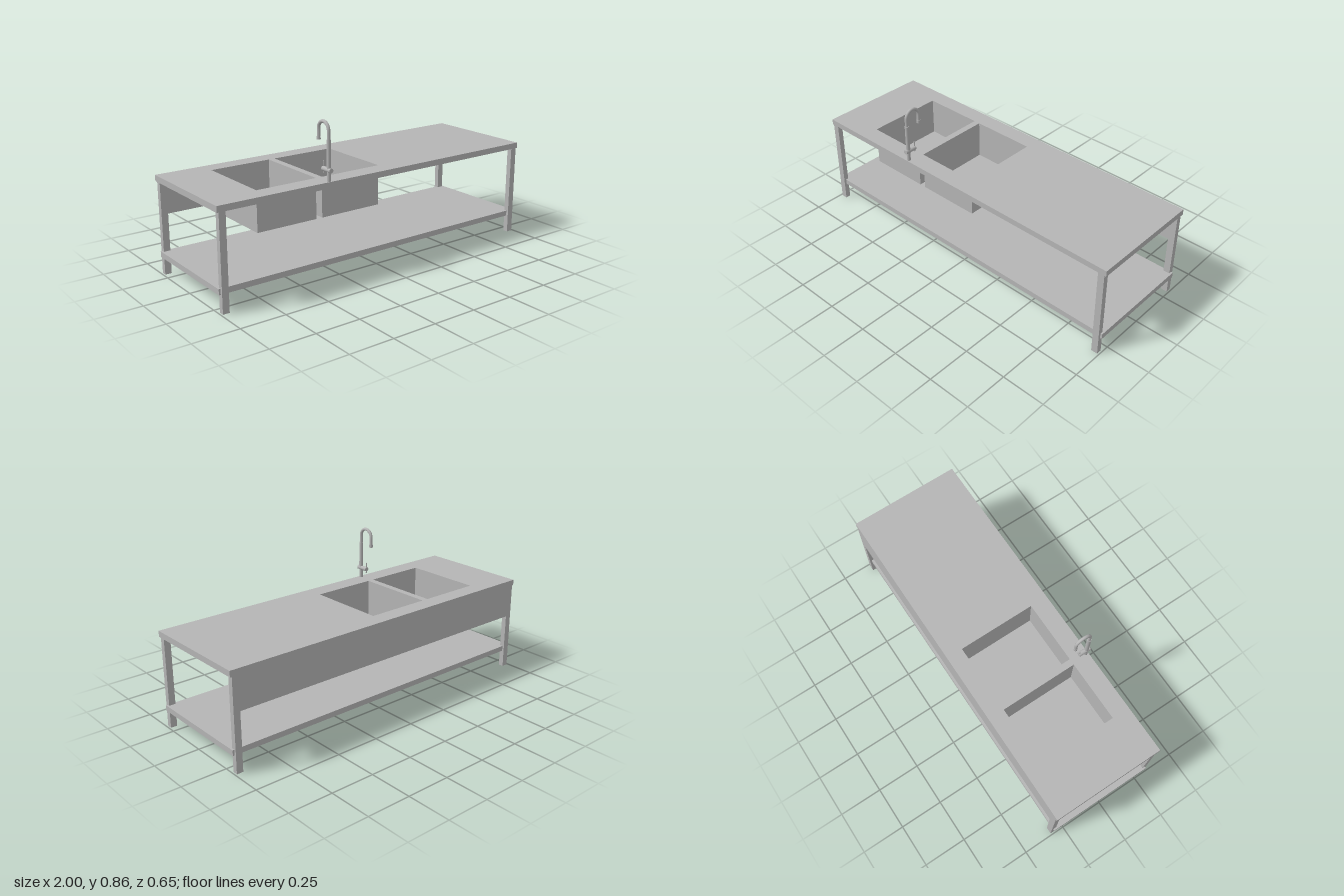
import * as THREE from 'three';

export function createModel() {
  const model = new THREE.Group();
  model.name = 'sinkTable';
  const steel = new THREE.MeshStandardMaterial({ color: 0xb5b5b5, side: THREE.DoubleSide });
  steel.name = 'brushed steel';

  const add = (name, geometry, parent = model) => {
    const mesh = new THREE.Mesh(geometry, steel);
    mesh.name = name;
    parent.add(mesh);
    return mesh;
  };
  // Box given by its limits on each axis
  const box = (name, x0, x1, y0, y1, z0, z1) =>
    add(name, new THREE.BoxGeometry(x1 - x0, y1 - y0, z1 - z0)
      .translate((x0 + x1) / 2, (y0 + y1) / 2, (z0 + z1) / 2));

  const back = -0.327, front = 0.321;
  const counterBottom = 0.512, counterTop = 0.545;
  const basinZ = [-0.232, 0.218], basinFloor = 0.325;
  const basins = [
    { name: 'rightBasin', x: [-0.725, -0.372] },
    { name: 'leftBasin', x: [-0.335, 0.034] },
  ];

  // Countertop with two openings (shape y runs towards the back)
  const rect = (path, x0, x1, z0, z1) => {
    path.moveTo(x0, -z1);
    path.lineTo(x1, -z1);
    path.lineTo(x1, -z0);
    path.lineTo(x0, -z0);
    path.closePath();
    return path;
  };
  const top = rect(new THREE.Shape(), -1, 1, back, front);
  for (const b of basins) top.holes.push(rect(new THREE.Path(), ...b.x, ...basinZ));
  add('countertop', new THREE.ExtrudeGeometry(top, { depth: counterTop - counterBottom, bevelEnabled: false })
    .rotateX(-Math.PI / 2).translate(0, counterBottom, 0));

  // Basins: sheet boxes without the upper face
  for (const b of basins) {
    const mesh = box(b.name, ...b.x, basinFloor, counterBottom, ...basinZ);
    const g = mesh.geometry;
    g.setIndex(Array.from(g.index.array).filter((_, i) => i < 12 || i >= 18));
    g.clearGroups();
  }

  // Legs
  for (const [side, x0, x1] of [['right', -0.99, -0.953], ['left', 0.953, 0.99]]) {
    box(side + 'FrontLeg', x0, x1, 0, counterBottom, 0.292, front);
    box(side + 'BackLeg', x0, x1, 0, counterBottom, back, -0.298);
  }

  // Back apron and lower shelf
  box('backPanel', -0.953, 0.953, basinFloor, counterBottom, back, back + 0.006);
  box('shelf', -1, 1, 0.098, 0.129, -0.316, 0.308);

  // Tap
  const tap = new THREE.Group();
  tap.name = 'tap';
  tap.position.x = -0.355;
  model.add(tap);
  const postZ = 0.307, outletZ = 0.221;
  const rod = (name, r, y0, y1, z) =>
    add(name, new THREE.CylinderGeometry(r, r, y1 - y0, 24).translate(0, (y0 + y1) / 2, z), tap);

  rod('tapBase', 0.0105, counterTop, 0.615, postZ);
  rod('tapPost', 0.0115, 0.615, 0.76, postZ);
  rod('tapNozzle', 0.0105, 0.746, 0.762, outletZ);
  rod('tapLever', 0.003, 0.58, 0.642, 0.261);
  add('tapValve', new THREE.CylinderGeometry(0.0125, 0.0125, 0.071, 24)
    .rotateX(Math.PI / 2).translate(0, 0.603, 0.2925), tap);

  // Gooseneck: straight rise, half circle, short drop
  const radius = (postZ - outletZ) / 2, arcY = 0.803;
  const points = [new THREE.Vector3(0, 0.755, postZ), new THREE.Vector3(0, 0.78, postZ)];
  for (let i = 0; i <= 12; i++) {
    const a = (i / 12) * Math.PI;
    points.push(new THREE.Vector3(0, arcY + radius * Math.sin(a), outletZ + radius + radius * Math.cos(a)));
  }
  points.push(new THREE.Vector3(0, 0.78, outletZ), new THREE.Vector3(0, 0.755, outletZ));
  add('tapSpout', new THREE.TubeGeometry(new THREE.CatmullRomCurve3(points), 48, 0.009, 16), tap);

  return model;
}
